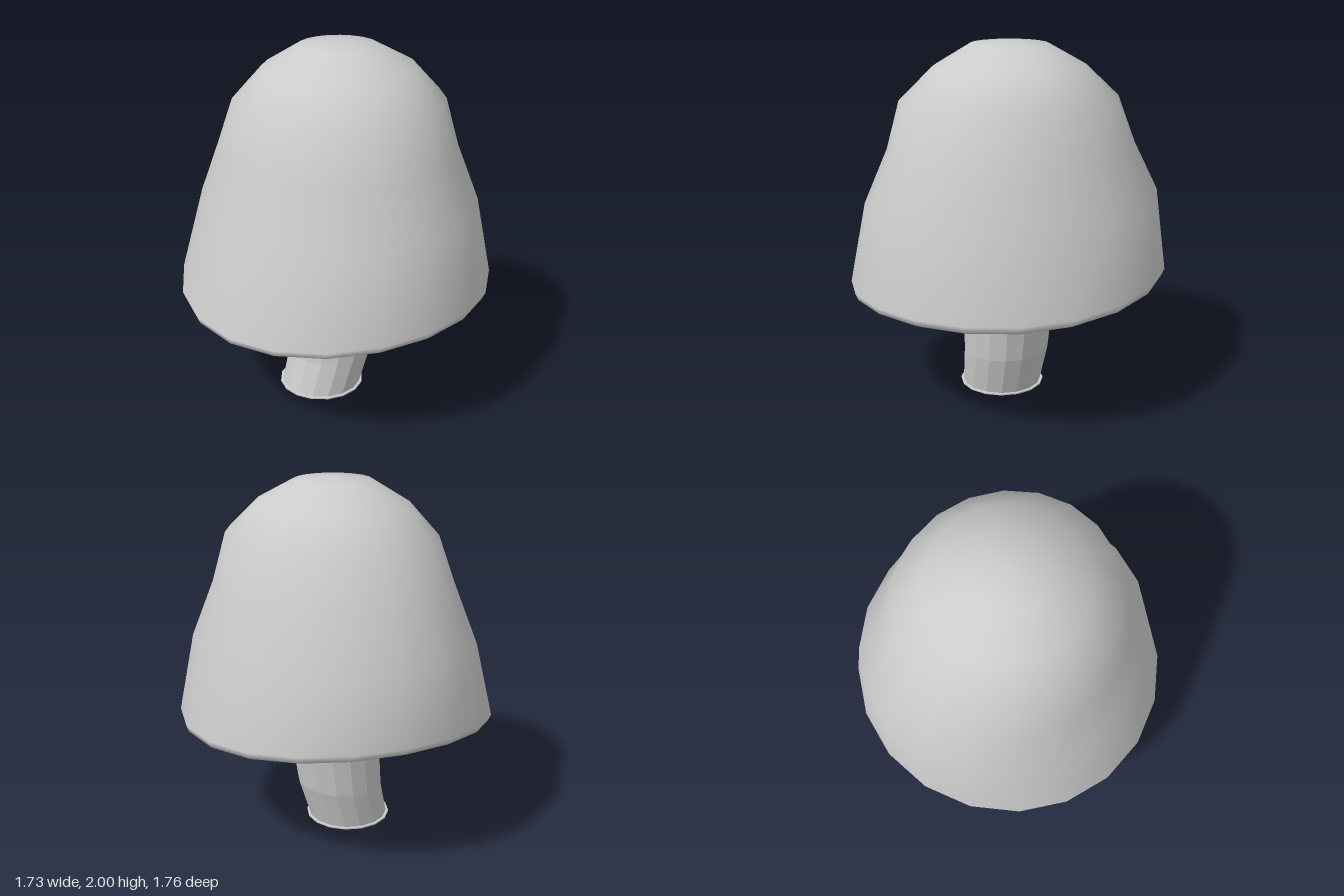
import * as THREE from 'three';
import { mergeVertices } from 'three/addons/utils/BufferGeometryUtils.js';

// Height of the wavy rim at an angle (0 = +x, 90 degrees = +z)
const wave = (a) => 0.05 * Math.cos(a) - 0.05 * Math.sin(a) - 0.03 * Math.cos(2 * a);

// Skin between closed rings; point(row, angle) gives [x, y, z]
function loft(rows, sides, point) {
  const pos = [], index = [];
  rows.forEach((row, i) => {
    for (let j = 0; j < sides; j++) {
      pos.push(...point(row, (j / sides) * Math.PI * 2));
      if (i === rows.length - 1) continue;
      const a = i * sides + j, b = i * sides + (j + 1) % sides;
      index.push(a, a + sides, b, b, a + sides, b + sides);
    }
  });
  let g = new THREE.BufferGeometry();
  g.setAttribute('position', new THREE.Float32BufferAttribute(pos, 3));
  g.setIndex(index);
  g = mergeVertices(g);
  g.computeVertexNormals();
  return g;
}

export function createModel() {
  const group = new THREE.Group();
  const smooth = new THREE.MeshStandardMaterial({ color: 0xcccccc, side: THREE.DoubleSide });
  const flat = new THREE.MeshStandardMaterial({ color: 0xcccccc, flatShading: true, side: THREE.DoubleSide });
  const add = (name, geometry, material, parent = group) => {
    const mesh = new THREE.Mesh(geometry, material);
    mesh.name = name;
    parent.add(mesh);
    return mesh;
  };

  // Cap: [x radius, z radius, height, x shift, z shift, wave amount, sideways tilt]
  const capRows = [
    [0.70, 0.71, 0.672, 0, 0, 1, 0],
    [0.76, 0.77, 0.65, 0, 0, 1, 0],
    [0.81, 0.825, 0.65, 0, 0, 1, 0],
    [0.85, 0.865, 0.67, 0, 0, 1, 0],
    [0.863, 0.88, 0.705, 0, 0, 1, 0],
    [0.74, 0.815, 1.14, 0.03, -0.015, 0.3, 0],
    [0.64, 0.68, 1.43, 0.02, -0.015, 0, 0.02],
    [0.56, 0.595, 1.69, 0.02, 0, 0, 0.02],
    [0.41, 0.41, 1.865, 0.02, 0, 0, 0.01],
    [0.21, 0.21, 1.98, 0.02, 0, 0, 0],
    [0, 0, 2.0, 0.02, 0, 0, 0],
  ];
  add('cap', loft(capRows, 20, ([rx, rz, y, sx, sz, w, t], a) => [
    sx + rx * Math.cos(a), y + w * wave(a) + t * Math.cos(a), sz + rz * Math.sin(a),
  ]), smooth);

  // Hollow underside, following the rim wave more towards the outside
  const follow = (r) => THREE.MathUtils.clamp((r - 0.3) / 0.4, 0, 1);
  const underRows = [[0.24, 0.94], [0.34, 0.97], [0.6, 0.95], [0.69, 0.8], [0.705, 0.672]];
  add('capUnderside', loft(underRows, 20, ([r, y], a) => [
    r * Math.cos(a), y + follow(r) * wave(a), r * Math.sin(a),
  ]), flat);

  // Gills: arched ribs between the collar and the rim
  const gills = new THREE.Group();
  gills.name = 'gills';
  group.add(gills);
  const arch = new THREE.Shape([
    [0.25, 0.79], [0.29, 0.79], [0.34, 0.88], [0.56, 0.86], [0.66, 0.7], [0.70, 0.675],
    [0.70, 0.8], [0.61, 0.96], [0.34, 0.98], [0.25, 0.95],
  ].map(([x, y]) => new THREE.Vector2(x, y)));
  const count = 30;
  for (let i = 0; i < count; i++) {
    const a = (i / count) * Math.PI * 2;
    const g = new THREE.ExtrudeGeometry(arch, { depth: 0.03, bevelEnabled: false });
    g.translate(0, 0, -0.015);
    const p = g.attributes.position;
    for (let k = 0; k < p.count; k++) p.setY(k, p.getY(k) + follow(p.getX(k)) * wave(a));
    g.rotateY(-a);
    g.computeVertexNormals();
    add('gill', g, flat, gills);
  }

  // Stem: hollow bent tube, [radius, height, x shift, tilt]
  const stemRows = [[0.225, 0.008, -0.095, 0], [0.24, 0.22, -0.03, 0.02],
    [0.25, 0.45, 0, 0.015], [0.258, 0.68, 0, 0], [0.262, 0.95, 0, 0]];
  add('stem', loft(stemRows, 16, ([r, y, sx, t], a) => [
    sx + r * Math.cos(a), y + t * Math.cos(a), r * Math.sin(a),
  ]), flat);

  // Thin lip around the open foot
  const lip = new THREE.LatheGeometry([[0.215, 0.008], [0.215, 0], [0.24, 0], [0.24, 0.008], [0.215, 0.008]]
    .map(([x, y]) => new THREE.Vector2(x, y)), 16);
  add('footLip', lip, flat).position.x = -0.095;

  // Collar where the stem meets the gills
  const collar = new THREE.LatheGeometry([[0.255, 0.75], [0.285, 0.765], [0.295, 0.81], [0.255, 0.84]]
    .map(([x, y]) => new THREE.Vector2(x, y)), 20);
  add('collar', collar, flat);

  return group;
}
